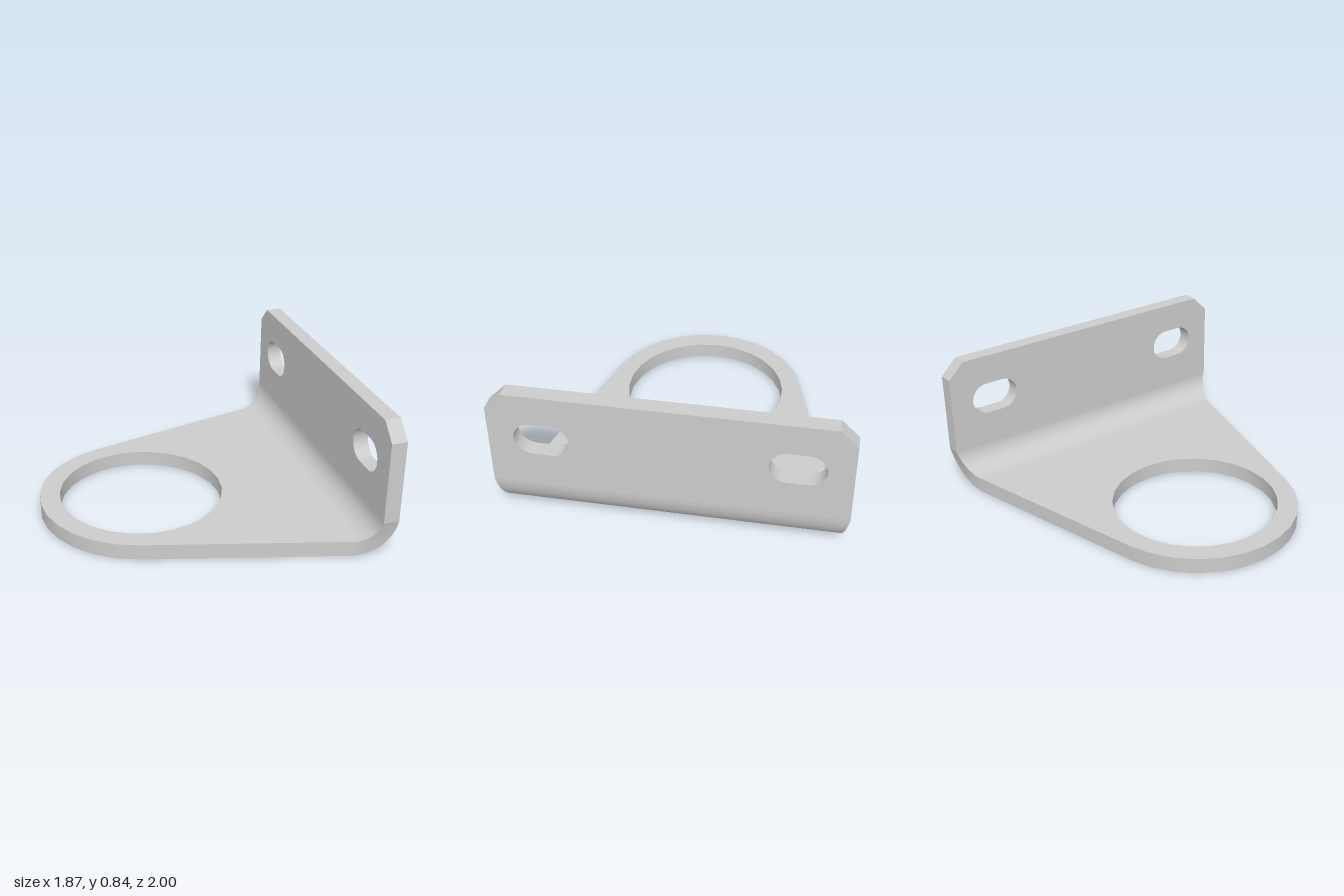
import * as THREE from 'three';
import { toCreasedNormals } from 'three/addons/utils/BufferGeometryUtils.js';

const T = 0.095;                            // sheet thickness
const BEND = { x: 0.695, y: 0.24, r: 0.24 }; // bend axis and outer radius
const W0 = 0.92, W1 = 1.0;                  // half widths at both ends of the bend
const RING = { x: -0.31, r: 0.625, hole: 0.503 };

const material = new THREE.MeshStandardMaterial({ color: 0xcccccc });

function part(name, geometry) {
  const mesh = new THREE.Mesh(toCreasedNormals(geometry, 0.5), material);
  mesh.name = name;
  return mesh;
}

function arcPoints(cx, r, from, to, n) {
  return Array.from({ length: n + 1 }, (_, i) => {
    const a = from + ((to - from) * i) / n;
    return new THREE.Vector2(cx + r * Math.cos(a), r * Math.sin(a));
  });
}

const extrude = (shape) =>
  new THREE.ExtrudeGeometry(shape, { depth: T, bevelEnabled: false, curveSegments: 12 });

// Tapered base: round end with a large hole, sides tangent to the round
function basePlate() {
  const tangent = Math.PI / 2 + 0.264;
  const shape = new THREE.Shape([
    new THREE.Vector2(BEND.x, -W0),
    new THREE.Vector2(BEND.x, W0),
    ...arcPoints(RING.x, RING.r, tangent, 2 * Math.PI - tangent, 12),
  ]);
  shape.holes.push(new THREE.Path(arcPoints(RING.x, RING.hole, 0, 2 * Math.PI, 26).slice(0, -1)));
  return extrude(shape).rotateX(Math.PI / 2).translate(0, T, 0);
}

// Quarter bend that widens evenly along its arc
function bend() {
  const steps = 16, pos = [];
  const section = (i) => {
    const t = i / steps, a = (t * Math.PI) / 2, w = W0 + (W1 - W0) * t;
    const point = (r, z) => [BEND.x + r * Math.sin(a), BEND.y - r * Math.cos(a), z];
    const inner = BEND.r - T;
    return [point(BEND.r, w), point(BEND.r, -w), point(inner, -w), point(inner, w)];
  };
  for (let i = 0; i < steps; i++) {
    const p = section(i), q = section(i + 1);
    for (let j = 0; j < 4; j++) {
      const k = (j + 1) % 4;
      pos.push(...p[j], ...p[k], ...q[j], ...p[k], ...q[k], ...q[j]);
    }
  }
  const geometry = new THREE.BufferGeometry();
  geometry.setAttribute('position', new THREE.Float32BufferAttribute(pos, 3));
  return geometry;
}

// Upright flange: chamfered top corners and two mounting slots
function flange() {
  const top = 0.84, c = 0.1;
  const shape = new THREE.Shape();
  shape.moveTo(-W1, BEND.y);
  shape.lineTo(W1, BEND.y);
  shape.lineTo(W1, top - c);
  shape.lineTo(W1 - c, top);
  shape.lineTo(-W1 + c, top);
  shape.lineTo(-W1, top - c);
  shape.closePath();
  for (const side of [-1, 1]) {
    const slot = new THREE.Path();
    slot.absarc(side * 0.7 + 0.055, 0.555, 0.1, -Math.PI / 2, Math.PI / 2);
    slot.absarc(side * 0.7 - 0.055, 0.555, 0.1, Math.PI / 2, Math.PI * 1.5);
    slot.closePath();
    shape.holes.push(slot);
  }
  return extrude(shape).rotateY(Math.PI / 2).translate(BEND.x + BEND.r - T, 0, 0);
}

export function createModel() {
  const group = new THREE.Group();
  group.name = 'mountingBracket';
  group.add(
    part('basePlate', basePlate()),
    part('bend', bend()),
    part('slottedFlange', flange()),
  );
  return group;
}
